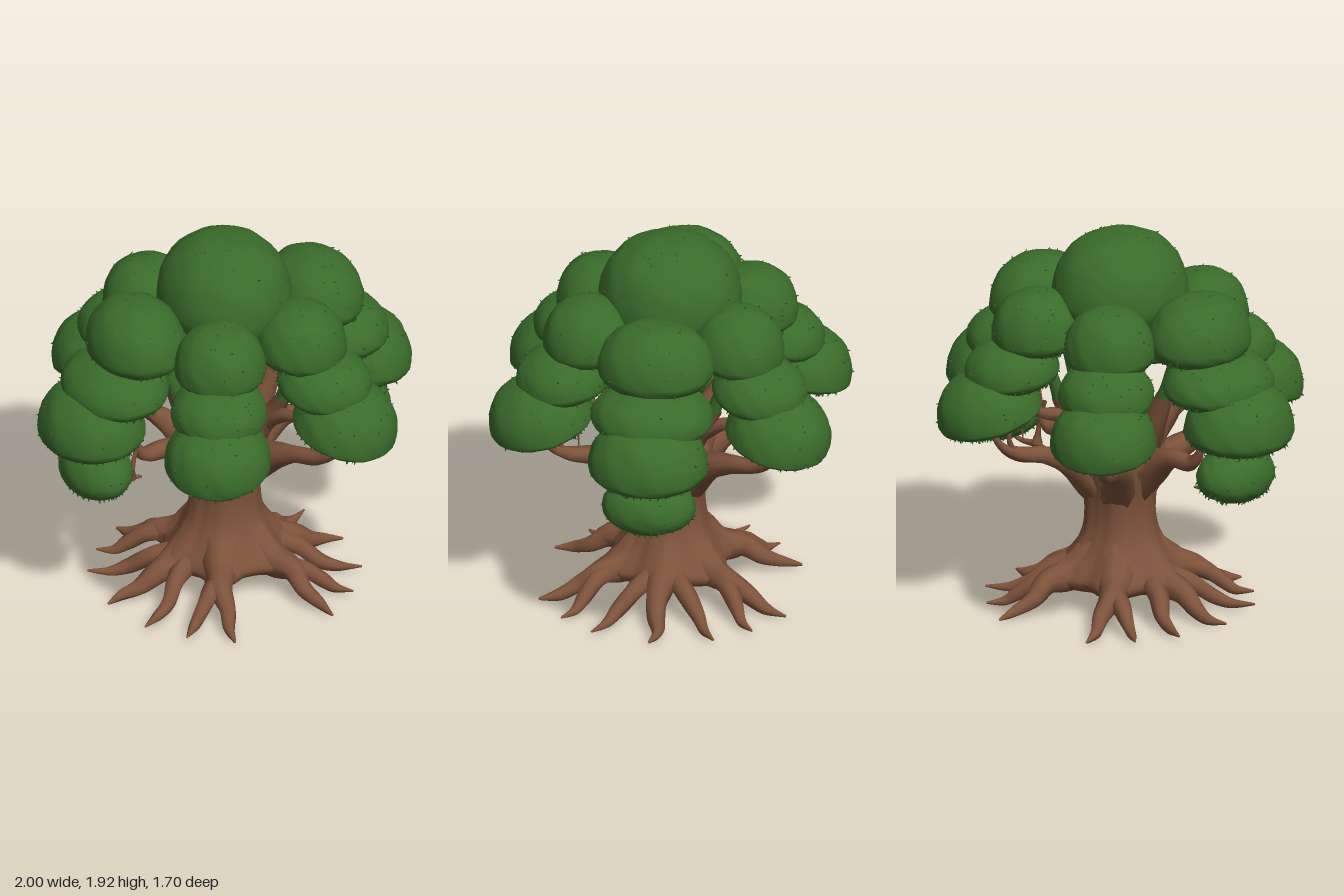
import * as THREE from 'three';
import { mergeGeometries, mergeVertices } from 'three/addons/utils/BufferGeometryUtils.js';

const bark = new THREE.MeshStandardMaterial({ color: 0x7d523a, side: THREE.DoubleSide });
bark.name = 'bark brown';
const leaf = new THREE.MeshStandardMaterial({ color: 0x3a6c2b, side: THREE.DoubleSide });
leaf.name = 'leaf green';

// small seeded random
let seed = 7;
const rand = () => ((seed = (seed * 16807) % 2147483647) / 2147483647);

function add(parent, name, geometry, material) {
  const mesh = new THREE.Mesh(geometry, material);
  mesh.name = name;
  parent.add(mesh);
  return mesh;
}

// tube through points [x, y, z, radius], mirrored by sx and sz
function limb(points, sx = 1, sz = 1, sides = 10) {
  const curve = new THREE.CatmullRomCurve3(points.map(p => new THREE.Vector3(p[0] * sx, p[1], p[2] * sz)));
  const steps = points.length * 5;
  const geo = new THREE.TubeGeometry(curve, steps, 1, sides);
  const pos = geo.attributes.position;
  const v = new THREE.Vector3();
  const last = points.length - 1;
  for (let i = 0; i <= steps; i++) {
    const u = i / steps;
    const c = curve.getPointAt(u);
    const t = curve.getUtoTmapping(u) * last;
    const k = Math.min(Math.floor(t), last - 1);
    const r = THREE.MathUtils.lerp(points[k][3], points[k + 1][3], t - k);
    for (let j = 0; j <= sides; j++) {
      const n = i * (sides + 1) + j;
      const knot = 1 + 0.09 * Math.sin((j % sides) * 2.4 + i * 0.35);
      v.fromBufferAttribute(pos, n).sub(c).multiplyScalar(r * knot).add(c);
      pos.setXYZ(n, v.x, v.y, v.z);
    }
  }
  return geo;
}

// fluted trunk: a lathe with lobes that grow towards the root flare and the fork
function trunkGeometry() {
  const profile = [[0.001, 0.14], [0.12, 0.11], [0.25, 0.1], [0.31, 0.15], [0.28, 0.21], [0.225, 0.29],
    [0.185, 0.38], [0.172, 0.48], [0.178, 0.58], [0.2, 0.68], [0.22, 0.77], [0.2, 0.84], [0.13, 0.9], [0.001, 0.92]];
  const curve = new THREE.SplineCurve(profile.map(p => new THREE.Vector2(...p)));
  const pts = curve.getPoints(40).map(p => new THREE.Vector2(Math.max(p.x, 0.001), p.y));
  let geo = new THREE.LatheGeometry(pts, 60);
  const pos = geo.attributes.position;
  for (let i = 0; i < pos.count; i++) {
    const x = pos.getX(i), y = pos.getY(i), z = pos.getZ(i);
    const a = Math.atan2(z, x);
    const flare = 0.03 + 0.13 * Math.max(0, 1 - y / 0.35) + 0.1 * Math.max(0, (y - 0.65) / 0.3);
    const k = 1 + flare * Math.cos(6 * a) + 0.015 * Math.sin(17 * a + 6 * y);
    pos.setXYZ(i, x * k * 1.04, y, z * k * 0.98);
  }
  geo.deleteAttribute('uv');
  geo.deleteAttribute('normal');
  geo = mergeVertices(geo, 1e-4);
  geo.computeVertexNormals();
  return geo;
}

// leafy clump: domed top, shallow underside, ragged rim and scattered leaf points
function clump({ angle = 0, dist = 0, y, rx, rz, up, down, tilt = 0 }) {
  let geo = new THREE.SphereGeometry(1, 40, 26);
  geo.deleteAttribute('uv');
  geo.deleteAttribute('normal');
  geo = mergeVertices(geo, 1e-4);
  const pos = geo.attributes.position;
  const rim = [], top = [];
  for (let i = 0; i < pos.count; i++) {
    const x = pos.getX(i), h = pos.getY(i), z = pos.getZ(i);
    const rho = Math.max(Math.hypot(x, z), 1e-4);
    const k = Math.pow(rho, 0.82) / rho;
    const bump = 1 + 0.012 * Math.sin(9 * x + 4 * h + dist * 20) * Math.cos(8 * z - 5 * h) + (rand() - 0.5) * 0.012;
    pos.setXYZ(i, x * k * rx * bump, h * (h > 0 ? up : down) * bump, z * k * rz * bump);
    if (h > -0.85 && h < -0.3) rim.push(i);
    else if (h > 0) top.push(i);
  }
  geo.computeVertexNormals();
  const nor = geo.attributes.normal;
  const parts = [geo];
  const p = new THREE.Vector3(), n = new THREE.Vector3(), lean = new THREE.Vector3();
  const upAxis = new THREE.Vector3(0, 1, 0), one = new THREE.Vector3(1, 1, 1);
  const leafPoint = (i, drop, size) => {
    p.fromBufferAttribute(pos, i);
    n.fromBufferAttribute(nor, i);
    lean.set(rand() - 0.5, rand() - 0.5 - drop, rand() - 0.5).add(n).normalize();
    const q = new THREE.Quaternion().setFromUnitVectors(upAxis, lean);
    const cone = new THREE.ConeGeometry(size * 0.6, size * 1.5, 3, 1, true);
    cone.deleteAttribute('uv');
    parts.push(cone.applyMatrix4(new THREE.Matrix4().compose(p, q, one)));
  };
  for (let i = 0; i < 80; i++) leafPoint(rim[Math.floor(rand() * rim.length)], 0.4, 0.02);
  for (let i = 0; i < 30; i++) leafPoint(top[Math.floor(rand() * top.length)], 0.2, 0.018);
  const merged = mergeGeometries(parts);
  merged.rotateZ(-tilt).translate(dist, y, 0).rotateY(-angle);
  return merged;
}

export function createModel() {
  const tree = new THREE.Group();
  tree.name = 'tree';
  const roots = new THREE.Group(), branches = new THREE.Group(), canopy = new THREE.Group();
  roots.name = 'roots';
  branches.name = 'branches';
  canopy.name = 'canopy';
  tree.add(roots, branches, canopy);

  add(tree, 'trunk', trunkGeometry(), bark);

  for (const sx of [1, -1]) {
    // side root, side branch and the twig that carries the low clump
    add(roots, 'sideRoot', limb([[0.08, 0.3, 0, 0.1], [0.24, 0.17, 0, 0.085], [0.38, 0.12, 0.01, 0.055],
      [0.47, 0.06, 0, 0.042], [0.56, 0.03, -0.02, 0.028], [0.65, 0.02, 0.01, 0.006]], sx), bark);
    add(branches, 'sideBranch', limb([[0.08, 0.62, 0, 0.11], [0.2, 0.74, 0, 0.085], [0.32, 0.81, 0, 0.05],
      [0.44, 0.81, 0, 0.038], [0.49, 0.87, 0, 0.022], [0.52, 1.05, 0, 0.014]], sx), bark);
    add(branches, 'hangingTwig', limb([[0.47, 0.93, 0, 0.012], [0.5, 0.84, 0.01, 0.01], [0.52, 0.75, 0.01, 0.014],
      [0.52, 0.7, 0, 0.03]], sx, 1, 7), bark);
    add(branches, 'lowTwig', limb([[0.46, 0.69, 0, 0.006], [0.53, 0.7, 0, 0.018], [0.62, 0.7, 0, 0.012],
      [0.72, 0.74, 0, 0.006]], sx, 1, 7), bark);
    add(branches, 'upperSideLimb', limb([[0.08, 0.74, 0, 0.1], [0.17, 0.9, 0, 0.075], [0.23, 1.02, 0, 0.055],
      [0.27, 1.12, 0, 0.042]], sx), bark);
    add(branches, 'sideLeafStem', limb([[0.265, 1.1, 0, 0.04], [0.32, 1.24, 0, 0.036], [0.38, 1.4, 0, 0.03]], sx), leaf);

    for (const sz of [1, -1]) {
      // forked diagonal root
      add(roots, 'diagonalRoot', limb([[0.06, 0.3, 0.09, 0.1], [0.14, 0.17, 0.22, 0.085], [0.2, 0.14, 0.33, 0.055],
        [0.21, 0.08, 0.42, 0.042], [0.25, 0.035, 0.51, 0.03], [0.27, 0.012, 0.61, 0.006]], sx, sz), bark);
      add(roots, 'diagonalRootFork', limb([[0.17, 0.15, 0.26, 0.05], [0.26, 0.13, 0.33, 0.045], [0.34, 0.07, 0.38, 0.035],
        [0.39, 0.03, 0.41, 0.025], [0.46, 0.02, 0.47, 0.005]], sx, sz), bark);
      add(roots, 'outerRootFork', limb([[0.22, 0.17, 0.05, 0.06], [0.34, 0.13, 0.13, 0.046], [0.42, 0.06, 0.2, 0.036],
        [0.5, 0.03, 0.24, 0.025], [0.6, 0.03, 0.3, 0.005]], sx, sz), bark);
      // long diagonal branch with twigs
      add(branches, 'diagonalBranch', limb([[0.05, 0.6, 0.08, 0.1], [0.14, 0.74, 0.2, 0.075], [0.21, 0.8, 0.33, 0.045],
        [0.27, 0.83, 0.46, 0.035], [0.31, 0.88, 0.54, 0.02], [0.35, 1.02, 0.61, 0.012]], sx, sz), bark);
      add(branches, 'branchTwig', limb([[0.28, 0.84, 0.48, 0.018], [0.29, 0.92, 0.51, 0.011], [0.27, 1.04, 0.49, 0.009]],
        sx, sz, 6), bark);
      add(branches, 'droopingTwig', limb([[0.3, 1.08, 0.38, 0.012], [0.29, 0.99, 0.41, 0.008], [0.28, 0.88, 0.41, 0.003]],
        sx, sz, 6), bark);
      // upper limb and its leafy stem
      add(branches, 'upperLimb', limb([[0.06, 0.72, 0.06, 0.09], [0.12, 0.88, 0.13, 0.065], [0.17, 1.0, 0.2, 0.046],
        [0.19, 1.09, 0.25, 0.035]], sx, sz), bark);
      add(branches, 'upperLimbFork', limb([[0.14, 0.92, 0.15, 0.05], [0.18, 1.0, 0.27, 0.035], [0.21, 1.03, 0.36, 0.025],
        [0.26, 1.12, 0.44, 0.015]], sx, sz), bark);
      add(branches, 'leafStem', limb([[0.188, 1.07, 0.24, 0.034], [0.2, 1.2, 0.28, 0.03], [0.22, 1.36, 0.34, 0.028]],
        sx, sz), leaf);
    }
  }

  // crown and the core that joins the arms
  add(canopy, 'crownClump', clump({ y: 1.6, rx: 0.325, rz: 0.35, up: 0.315, down: 0.2 }), leaf);
  add(canopy, 'coreClump', clump({ y: 1.42, rx: 0.33, rz: 0.33, up: 0.2, down: 0.13 }), leaf);

  // stepped clumps down each of the six arms
  const diagonalArm = [
    { dist: 0.43, y: 1.44, rx: 0.225, rz: 0.225, up: 0.225, down: 0.1, tilt: 0.12 },
    { dist: 0.565, y: 1.26, rx: 0.235, rz: 0.235, up: 0.165, down: 0.09, tilt: 0.15 },
    { dist: 0.68, y: 1.055, rx: 0.26, rz: 0.26, up: 0.225, down: 0.06, tilt: 0.27 },
  ];
  const sideArm = [
    { dist: 0.49, y: 1.46, rx: 0.235, rz: 0.285, up: 0.23, down: 0.12, tilt: 0.05 },
    { dist: 0.61, y: 1.25, rx: 0.255, rz: 0.3, up: 0.16, down: 0.1, tilt: 0.05 },
    { dist: 0.735, y: 1.05, rx: 0.255, rz: 0.295, up: 0.24, down: 0.1, tilt: 0.1 },
    { dist: 0.715, y: 0.81, rx: 0.165, rz: 0.23, up: 0.14, down: 0.115, tilt: 0.25 },
  ];
  const names = ['upperClump', 'middleClump', 'lowerClump', 'hangingClump'];
  const slant = Math.atan2(0.58, 0.35);
  for (const angle of [slant, Math.PI - slant, Math.PI + slant, -slant])
    diagonalArm.forEach((c, i) => add(canopy, names[i], clump({ angle, ...c }), leaf));
  for (const angle of [0, Math.PI])
    sideArm.forEach((c, i) => add(canopy, names[i], clump({ angle, ...c }), leaf));

  return tree;
}
